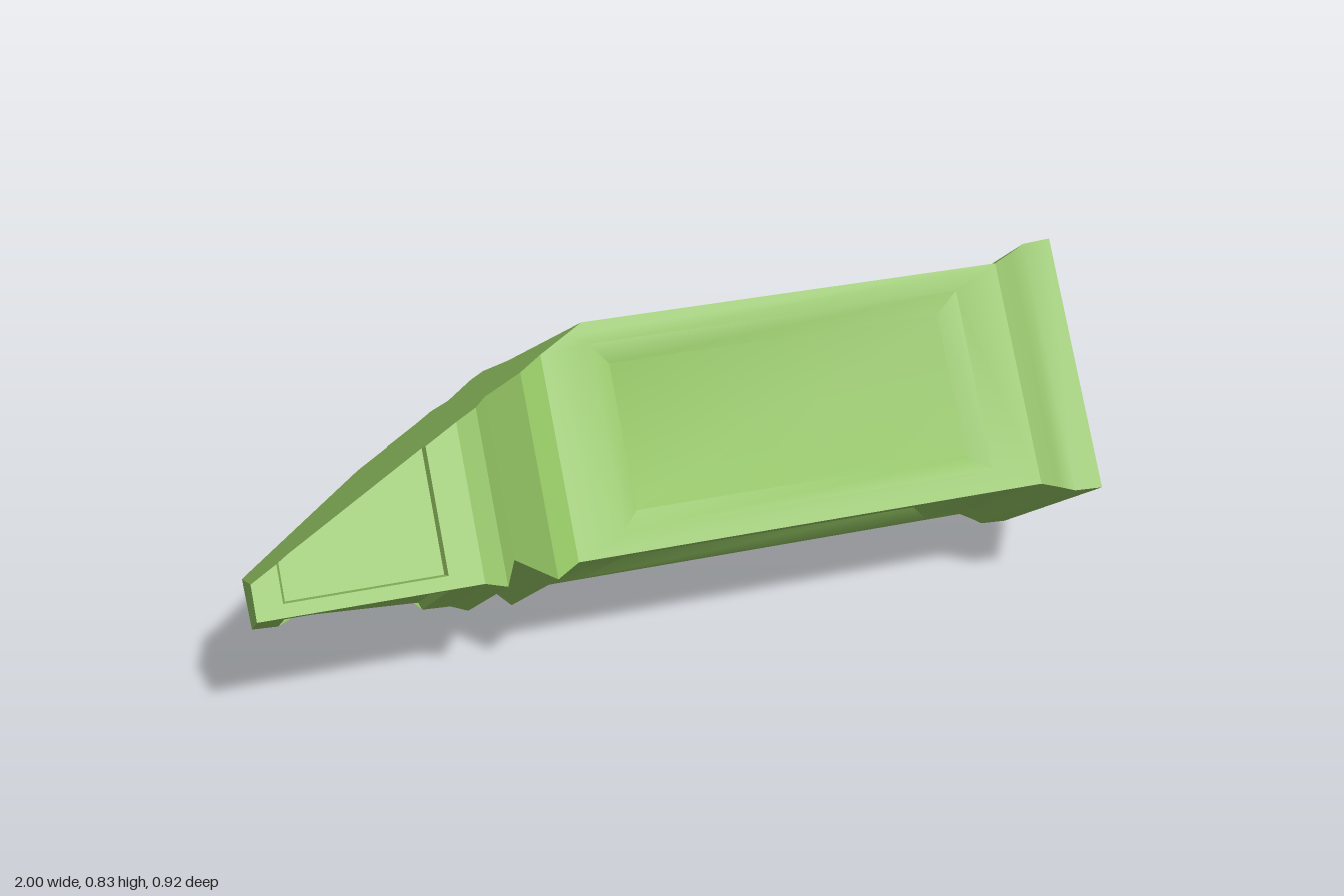
import * as THREE from 'three';
import { toCreasedNormals } from 'three/addons/utils/BufferGeometryUtils.js';

const V = (x, y, z) => new THREE.Vector3(x, y, z);

// Pillar frame: centre of the foot, two section diagonals, axis towards the broken tip
const foot = V(0.962, 0.418, 0.05);
const d1 = V(0, 0.9965, 0.0835).normalize();
const d2 = V(-0.0897, -0.0837, 0.9925).normalize();
const axis = d2.clone().cross(d1).normalize();
const diagonals = [d1, d2, d1.clone().negate(), d2.clone().negate()];

const corner = (s, r, k) => foot.clone().addScaledVector(axis, s).addScaledVector(diagonals[k % 4], r);

// Square frustum between stations [s, half diagonal]
function frustum([s0, r0], [s1, r1]) {
  return [0, 1, 2, 3].map(k => [corner(s0, r0, k), corner(s1, r1, k), corner(s1, r1, k + 1), corner(s0, r0, k + 1)]);
}

// Square block with a sunken panel on each of its four sides
function panelled(s0, s1, r, p0, p1, margin, bevel, depth) {
  const polys = [];
  for (let k = 0; k < 4; k++) {
    const inward = diagonals[k].clone().add(diagonals[(k + 1) % 4]).normalize().negate();
    const rect = (a, b, w, d) => [[a, w], [b, w], [b, 1 - w], [a, 1 - w]].map(([s, t]) =>
      corner(s, r, k).lerp(corner(s, r, k + 1), t).addScaledVector(inward, d));
    const width = r * Math.SQRT2;
    const rects = [
      rect(s0, s1, 0, 0),
      rect(p0, p1, margin / width, 0),
      rect(p0 + bevel, p1 - bevel, (margin + bevel) / width, depth),
    ];
    for (let i = 0; i < 2; i++) {
      for (let j = 0; j < 4; j++) {
        const n = (j + 1) % 4;
        polys.push([rects[i][j], rects[i][n], rects[i + 1][n], rects[i + 1][j]]);
      }
    }
    polys.push(rects[2]);
  }
  return polys;
}

// Cut all parts with a plane and close the cut with a fan in the brokenFace part
function cut(parts, a, b, c) {
  const plane = new THREE.Plane().setFromCoplanarPoints(a, b, c);
  if (plane.distanceToPoint(foot) > 0) plane.negate();
  const segments = [];
  for (const name of Object.keys(parts)) {
    parts[name] = parts[name].map(poly => {
      const kept = [], crossing = [];
      poly.forEach((p, i) => {
        const q = poly[(i + 1) % poly.length];
        const dp = plane.distanceToPoint(p), dq = plane.distanceToPoint(q);
        if (dp <= 0) kept.push(p);
        if ((dp <= 0) !== (dq <= 0)) {
          const x = p.clone().lerp(q, dp / (dp - dq));
          kept.push(x);
          crossing.push(x);
        }
      });
      if (crossing.length === 2) segments.push(crossing);
      return kept;
    }).filter(poly => poly.length > 2);
  }
  const mid = V(0, 0, 0);
  segments.forEach(([p, q]) => mid.add(p).add(q));
  mid.divideScalar(segments.length * 2);
  for (const [p, q] of segments) {
    const side = p.clone().sub(mid).cross(q.clone().sub(mid)).dot(plane.normal);
    parts.brokenFace.push(side > 0 ? [mid, p, q] : [mid, q, p]);
  }
}

function toMesh(name, polys, material) {
  const points = [];
  for (const poly of polys) {
    for (let i = 1; i < poly.length - 1; i++) points.push(poly[0], poly[i], poly[i + 1]);
  }
  const geometry = new THREE.BufferGeometry().setFromPoints(points);
  const mesh = new THREE.Mesh(toCreasedNormals(geometry, 0.6), material);
  mesh.name = name;
  return mesh;
}

export function createModel() {
  // Stations along the axis for the foot flare and the collar mouldings
  const flare = [[0, 0.418], [0.065, 0.413], [0.095, 0.392], [0.13, 0.37]];
  const collar = [[1.232, 0.37], [1.29, 0.414], [1.365, 0.326], [1.4, 0.41], [1.445, 0.388]];
  const chain = list => list.slice(1).flatMap((st, i) => frustum(list[i], st));

  const parts = {
    foot: [[0, 1, 2, 3].map(k => corner(0, 0.418, k)), ...chain(flare)],
    shaft: panelled(0.13, 1.232, 0.37, 0.24, 1.12, 0.05, 0.045, 0.03),
    collar: chain(collar),
    topBlock: [
      ...panelled(1.445, 1.935, 0.388, 1.52, 1.875, 0.03, 0.006, 0.018),
      [3, 2, 1, 0].map(k => corner(1.935, 0.388, k)),
    ],
    brokenFace: [],
  };

  // Two slanting breaks: one facing up and back, one facing down and back
  cut(parts, V(-0.15, 0.795, -0.03), V(-0.99, 0.465, 0.21), V(-0.27, 0.46, -0.44));
  cut(parts, V(-0.99, 0.295, 0.135), V(-0.43, 0.045, -0.11), V(-0.6, 0.32, -0.345));

  const material = new THREE.MeshStandardMaterial({ color: 0x8fbf60, side: THREE.DoubleSide });
  const group = new THREE.Group();
  group.name = 'brokenPillar';
  for (const [name, polys] of Object.entries(parts)) group.add(toMesh(name, polys, material));
  return group;
}
